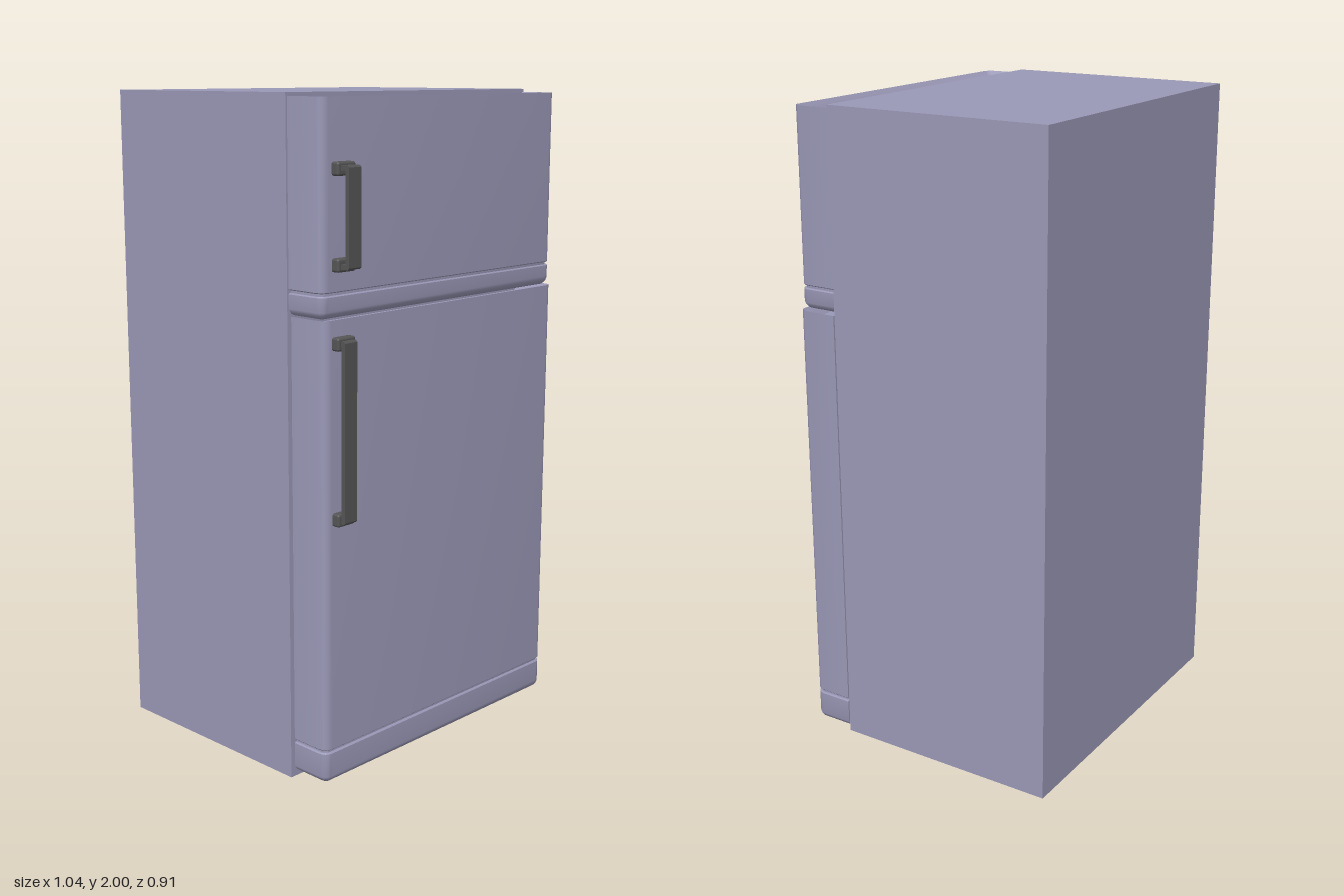
import * as THREE from 'three';
import { toCreasedNormals } from 'three/addons/utils/BufferGeometryUtils.js';
import { RoundedBoxGeometry } from 'three/addons/geometries/RoundedBoxGeometry.js';

const enamel = new THREE.MeshStandardMaterial({ color: 0x9a98b6 });
const darkMetal = new THREE.MeshStandardMaterial({ color: 0x555555 });

const BACK = 0.27, FRONT = 0.4, R = 0.028, STEPS = 6;

function addMesh(parent, name, geometry, material) {
  const mesh = new THREE.Mesh(geometry, material);
  mesh.name = name;
  parent.add(mesh);
  return mesh;
}

// Horizontal section of a door, inset by d on the sides and front
function doorSection(x0, x1, d) {
  const r = R - d, pts = [[x1 - d, BACK]];
  for (const right of [true, false]) {
    for (let i = 0; i <= STEPS; i++) {
      const a = (i / STEPS) * Math.PI / 2 + (right ? 0 : Math.PI / 2);
      const cx = right ? x1 - R : x0 + R;
      pts.push([cx + r * Math.cos(a), FRONT - R + r * Math.sin(a)]);
    }
  }
  pts.push([x0 + d, BACK]);
  return pts;
}

// Door: stacked sections with rounded top and bottom and a cut groove
function doorGeometry(x0, x1, y0, y1, grooveY) {
  const levels = [];
  for (let i = 0; i <= STEPS; i++) {
    const a = (i / STEPS) * Math.PI / 2;
    levels.push([y0 + R * (1 - Math.cos(a)), R * (1 - Math.sin(a))]);
  }
  const g = 0.004, cut = 0.008;
  levels.push([grooveY - g - 0.003, 0], [grooveY - g, 0.003], [grooveY - g, cut],
    [grooveY + g, cut], [grooveY + g, 0.003], [grooveY + g + 0.003, 0]);
  for (let i = 0; i <= STEPS; i++) {
    const a = (i / STEPS) * Math.PI / 2;
    levels.push([y1 - R * (1 - Math.sin(Math.PI / 2 - a)), R * (1 - Math.cos(a))]);
  }
  const position = [], index = [];
  let n = 0;
  for (const [y, d] of levels) {
    const section = doorSection(x0, x1, d);
    n = section.length;
    for (const [x, z] of section) position.push(x, y, z);
  }
  for (let l = 0; l < levels.length - 1; l++) {
    for (let i = 0; i < n; i++) {
      const a = l * n + i, b = l * n + (i + 1) % n;
      index.push(a, a + n, b, b, a + n, b + n);
    }
  }
  // End caps
  const top = (levels.length - 1) * n;
  for (let i = 1; i < n - 1; i++) {
    index.push(0, i, i + 1, top, top + i + 1, top + i);
  }
  const geo = new THREE.BufferGeometry();
  geo.setAttribute('position', new THREE.Float32BufferAttribute(position, 3));
  geo.setIndex(index);
  return toCreasedNormals(geo, 0.5);
}

// Handle: flat strap bent towards the door at both ends, on two mounts
function makeHandle(name, y0, y1, outerZ) {
  const handle = new THREE.Group();
  handle.name = name;
  const x = -0.445, t = 0.014, root = 0.415;
  const strap = new THREE.Shape([
    [root, y0], [outerZ - 0.005, y0], [outerZ, y0 + 0.005],
    [outerZ, y1 - 0.005], [outerZ - 0.005, y1], [root, y1],
    [root, y1 - t], [outerZ - t, y1 - t], [outerZ - t, y0 + t], [root, y0 + t],
  ].map(([z, y]) => new THREE.Vector2(-z, y)));
  const geo = new THREE.ExtrudeGeometry(strap, { depth: 0.048, bevelEnabled: false });
  geo.translate(0, 0, -0.024).rotateY(Math.PI / 2);
  addMesh(handle, 'handleBar', geo, darkMetal).position.x = x;
  for (const y of [y0 + 0.01, y1 - 0.01]) {
    addMesh(handle, 'handleMount', new RoundedBoxGeometry(0.07, 0.038, 0.03, 3, 0.007), darkMetal)
      .position.set(x, y, 0.41);
  }
  return handle;
}

export function createModel() {
  const model = new THREE.Group();
  model.name = 'refrigerator';

  addMesh(model, 'cabinet', new THREE.BoxGeometry(1.04, 2, 0.725), enamel)
    .position.set(-0.005, 1, -0.0925);

  addMesh(model, 'freezerDoor', doorGeometry(-0.519, 0.509, 1.39, 1.99, 1.459), enamel);
  addMesh(model, 'mainDoor', doorGeometry(-0.51, 0.52, 0.012, 1.388, 0.113), enamel);

  model.add(makeHandle('freezerHandle', 1.53, 1.81, 0.455));
  model.add(makeHandle('mainHandle', 0.808, 1.332, 0.44));
  return model;
}
